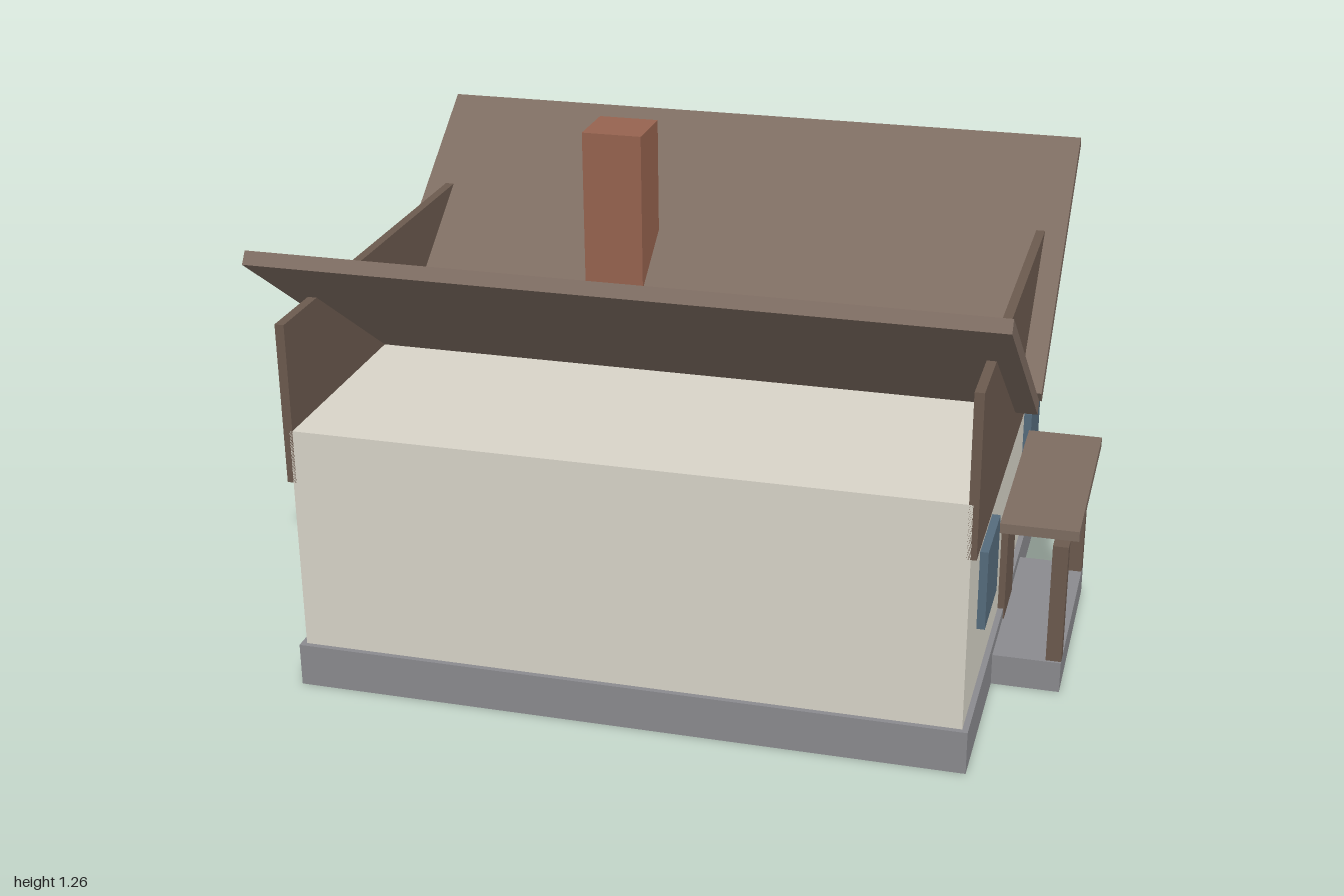
import * as THREE from 'three';

const COLORS = {
  stone: 0x8a8a8e, plaster: 0xd8d4c8, roof: 0x7d6c61,
  timber: 0x6b5a4e, brick: 0x96634f, glass: 0x556b7c,
};

export function createModel() {
  const house = new THREE.Group();
  house.name = 'house';

  const materials = {};
  for (const key in COLORS) {
    materials[key] = new THREE.MeshStandardMaterial({ color: COLORS[key] });
  }

  // Box given by its [min, max] extent on each axis
  function addBox(name, material, [x0, x1], [y0, y1], [z0, z1]) {
    const mesh = new THREE.Mesh(
      new THREE.BoxGeometry(x1 - x0, y1 - y0, z1 - z0), materials[material]);
    mesh.position.set((x0 + x1) / 2, (y0 + y1) / 2, (z0 + z1) / 2);
    mesh.name = name;
    house.add(mesh);
    return mesh;
  }

  // Main body
  addBox('foundation', 'stone', [-0.943, 0.797], [0, 0.115], [-0.728, 0.728]);
  addBox('walls', 'plaster', [-0.928, 0.782], [0.115, 0.717], [-0.714, 0.714]);

  // Gable boards at both ends
  for (const [name, x] of [['leftGable', 0.784], ['rightGable', -0.932]]) {
    addBox(name, 'timber', [x - 0.012, x + 0.012], [0.575, 1.0], [-0.714, 0.714]);
  }

  // Two sloping roof panels, rising outwards from the middle
  const slope = THREE.MathUtils.degToRad(35);
  for (const [name, side] of [['frontRoofPanel', 1], ['backRoofPanel', -1]]) {
    const panel = new THREE.Mesh(
      new THREE.BoxGeometry(1.853, 0.036, 0.856), materials.roof);
    panel.position.set(-0.073, 0.93, side * 0.386);
    panel.rotation.x = -side * slope;
    panel.name = name;
    house.add(panel);
  }

  addBox('chimney', 'brick', [-0.443, -0.277], [0.7, 1.26], [-0.37, -0.202]);

  // Entrance and porch
  addBox('door', 'timber', [0.775, 0.8], [0.085, 0.357], [-0.085, 0.085]);
  addBox('porchFloor', 'stone', [0.79, 0.974], [0, 0.085], [-0.285, 0.285]);
  addBox('porchRoof', 'roof', [0.8, 1.0], [0.445, 0.472], [-0.298, 0.298]);

  // Porch posts and windows on either side of the door
  for (const side of [-1, 1]) {
    const span = (a, b) => (side > 0 ? [a, b] : [-b, -a]);
    const label = side > 0 ? 'front' : 'back';
    addBox(label + 'PorchPost', 'timber', [0.934, 0.974], [0.085, 0.415], span(0.238, 0.278));
    addBox(label + 'Window', 'glass', [0.775, 0.803], [0.296, 0.508], span(0.323, 0.536));
  }

  return house;
}
